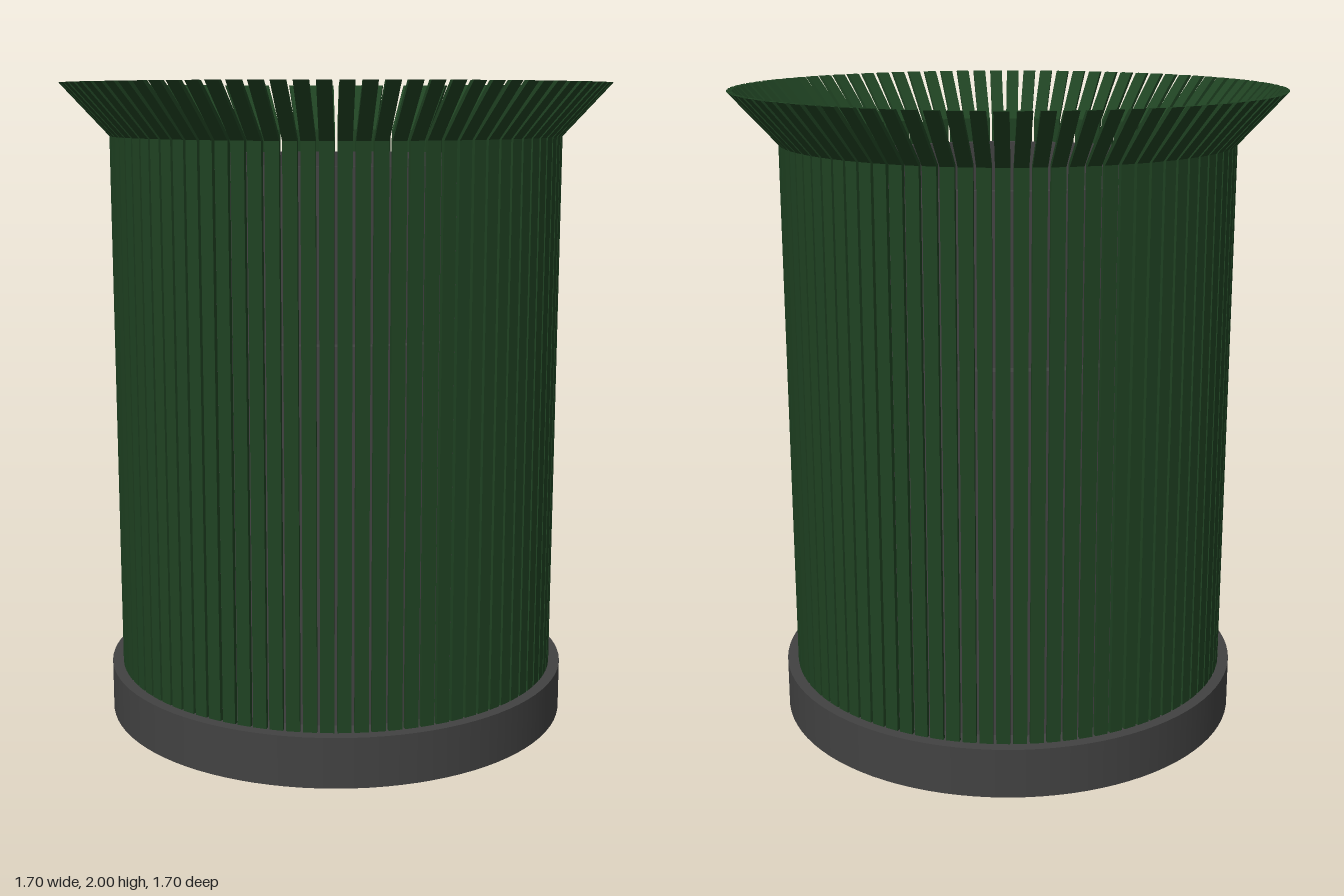
import * as THREE from 'three';

const SLATS = 88, SLAT_WIDTH = 0.041, BASE_TOP = 0.155;

export function createModel() {
  const model = new THREE.Group();
  model.name = 'slattedBin';
  const grey = new THREE.MeshStandardMaterial({ color: 0x424242 });
  const green = new THREE.MeshStandardMaterial({ color: 0x1f4222 });

  const add = (name, geometry, material, parent = model) => {
    const mesh = new THREE.Mesh(geometry, material);
    mesh.name = name;
    parent.add(mesh);
    return mesh;
  };

  // Revolve a profile, doubling corner points so the edges stay sharp
  const revolve = (points) => {
    const profile = [];
    points.forEach(([r, y], i) => {
      profile.push(new THREE.Vector2(r, y));
      if (i > 0 && i < points.length - 1) profile.push(new THREE.Vector2(r, y));
    });
    return new THREE.LatheGeometry(profile, 96);
  };

  // Solid round plinth
  const base = add('base', new THREE.CylinderGeometry(0.735, 0.735, BASE_TOP, 96), grey);
  base.position.y = BASE_TOP / 2;

  // Open inner container with a thin wall
  add('innerBin', revolve([
    [0.645, BASE_TOP], [0.645, 1.77], [0.617, 1.77], [0.617, 0.17], [0, 0.17],
  ]), grey);

  // Hoop that carries the slats
  add('supportHoop', revolve([
    [0.645, 1.2], [0.687, 1.2], [0.687, 1.28], [0.645, 1.28],
  ]), grey);

  // One slat in side profile: upright, then flared outwards at the top
  const profile = new THREE.Shape([
    [0.687, BASE_TOP], [0.7, BASE_TOP], [0.7, 1.84],
    [0.848, 2], [0.831, 2], [0.687, 1.845],
  ].map(([r, y]) => new THREE.Vector2(r, y)));
  const slatGeometry = new THREE.ExtrudeGeometry(profile, { depth: SLAT_WIDTH, bevelEnabled: false });
  slatGeometry.translate(0, 0, -SLAT_WIDTH / 2);

  // Ring of slats
  const ring = new THREE.Group();
  ring.name = 'slats';
  model.add(ring);
  for (let i = 0; i < SLATS; i++) {
    add('slat', slatGeometry, green, ring).rotation.y = ((i + 0.5) / SLATS) * Math.PI * 2;
  }

  return model;
}
